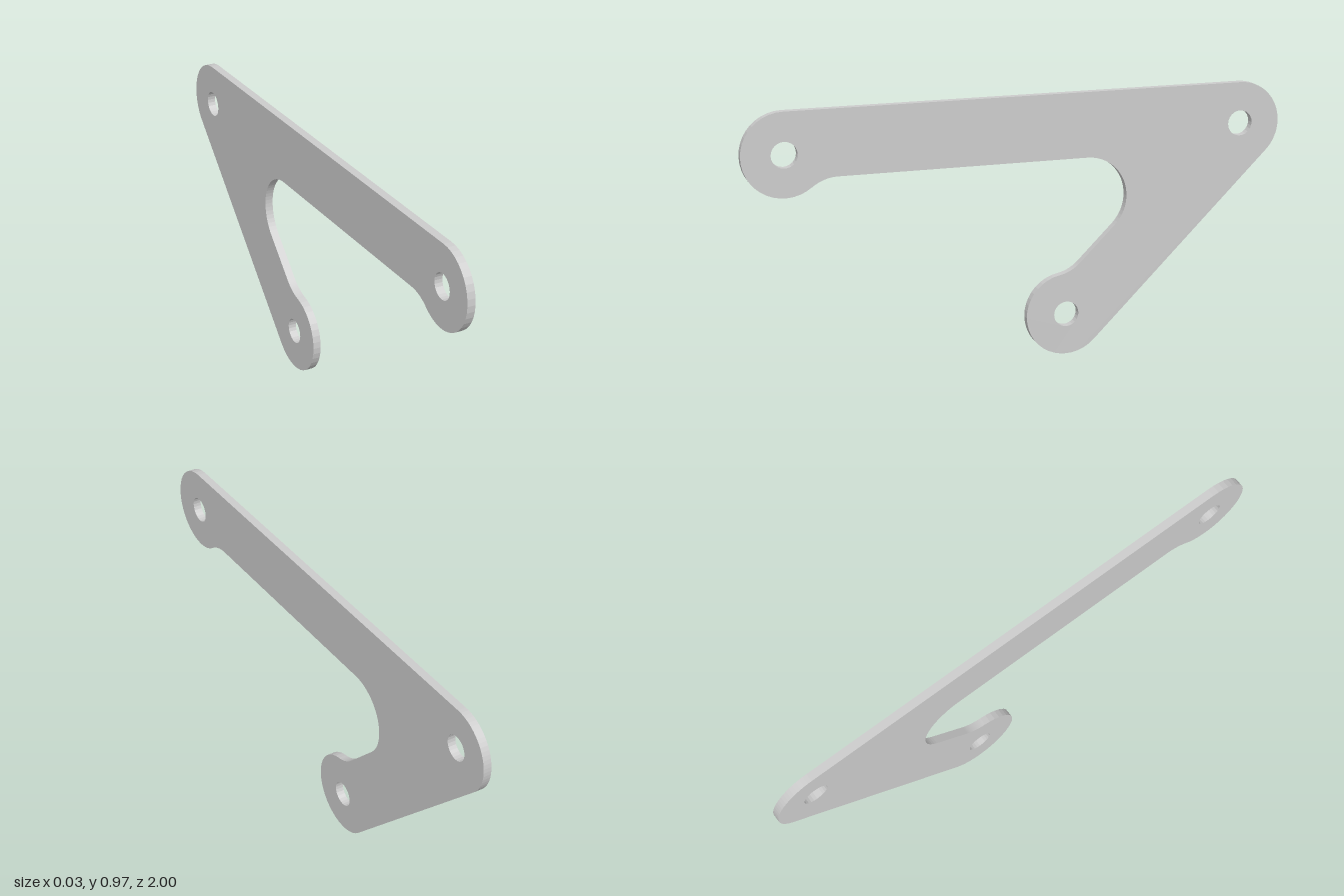
import * as THREE from 'three';

// Flat bracket plate: three round eyes joined by a straight bar and a diagonal arm.
const R = 0.152, HOLE = 0.047, THICK = 0.03, Q = Math.PI / 4;
const frontEye = [-0.848, 0.821], backEye = [0.848, 0.821], lowerEye = [0.177, 0.152];
const frontFillet = [-0.661, 0.581], crotch = [0.254, 0.581], lowerFillet = [0.123, 0.451];

const angle = (from, to) => Math.atan2(to[1] - from[1], to[0] - from[0]);

export function createModel() {
  const group = new THREE.Group();
  group.name = 'bracket';

  // Outline in profile; consecutive arcs are joined by straight edges
  const outline = new THREE.Shape();
  const arc = (c, start, end, clockwise) => outline.absarc(c[0], c[1], R, start, end, clockwise);
  arc(frontEye, 2 * Q, angle(frontEye, frontFillet), false);
  arc(frontFillet, angle(frontFillet, frontEye), 2 * Q, true);
  arc(crotch, 2 * Q, -Q, true);
  arc(lowerFillet, -Q, angle(lowerFillet, lowerEye), true);
  arc(lowerEye, angle(lowerEye, lowerFillet), -Q, false);
  arc(backEye, -Q, 2 * Q, false);
  outline.closePath();

  // Pin holes
  for (const [x, y] of [frontEye, backEye, lowerEye]) {
    outline.holes.push(new THREE.Path().absarc(x, y, HOLE, 0, 2 * Math.PI, true));
  }

  const geometry = new THREE.ExtrudeGeometry(outline, { depth: THICK, bevelEnabled: false, curveSegments: 12 });
  geometry.translate(0, 0, -THICK / 2);
  geometry.rotateY(Math.PI / 2); // profile x runs towards the back

  const plate = new THREE.Mesh(geometry, new THREE.MeshStandardMaterial({ color: 0xcccccc }));
  plate.name = 'bracketPlate';
  group.add(plate);
  return group;
}
